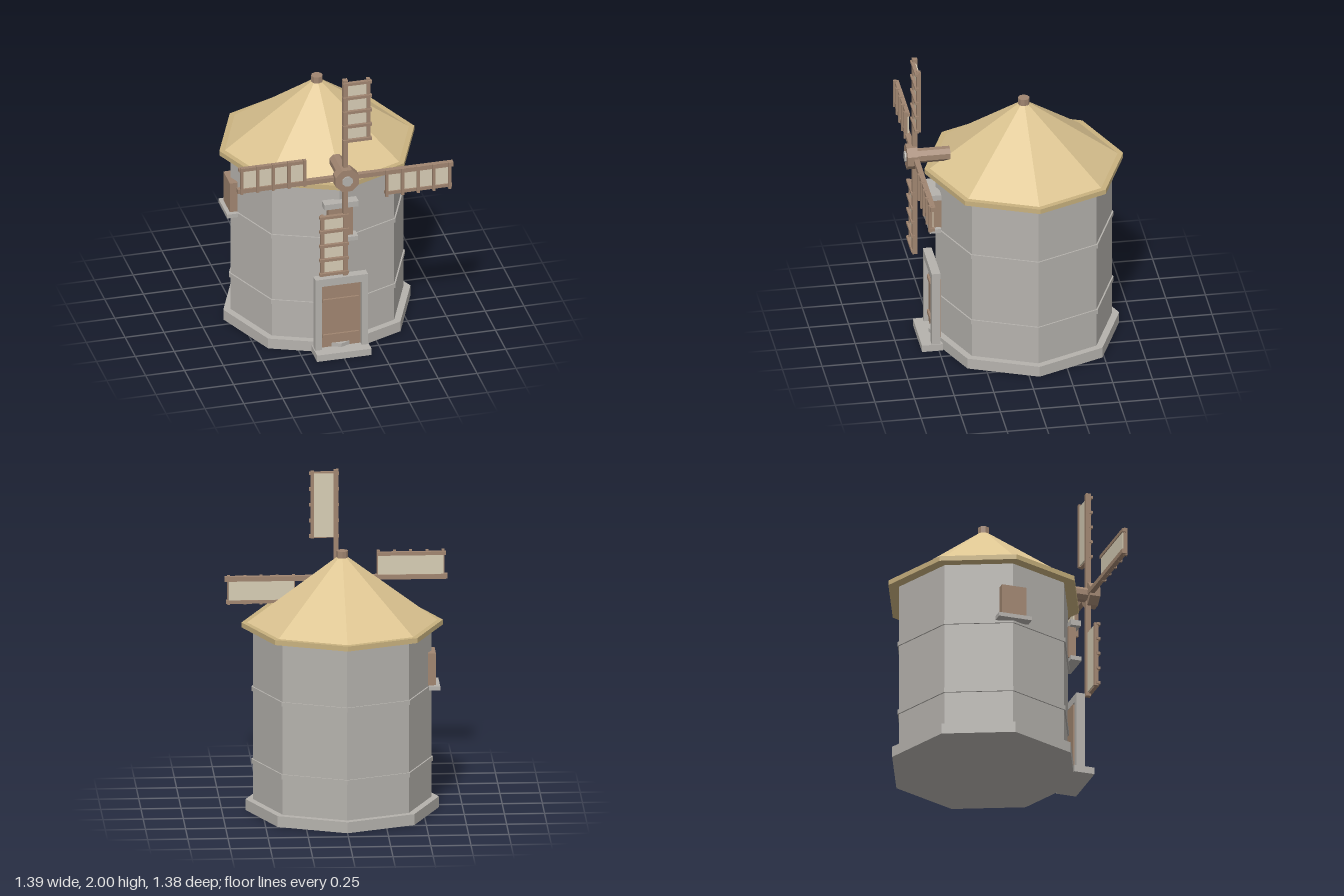
import * as THREE from 'three';

const mat = (color) => new THREE.MeshStandardMaterial({ color, flatShading: true });

export function createModel() {
  const model = new THREE.Group();
  model.name = 'windmill';
  const stone = mat(0xb5b2ad), wood = mat(0xa08570), straw = mat(0xdcc491);
  const thatchEdge = mat(0xc9b27f), cloth = mat(0xd6ccb4);
  const CZ = -0.063; // tower axis

  const add = (parent, name, geometry, material, x = 0, y = 0, z = 0) => {
    const mesh = new THREE.Mesh(geometry, material);
    mesh.name = name;
    mesh.position.set(x, y, z);
    parent.add(mesh);
    return mesh;
  };
  // Box given by its extents on each axis
  const box = (parent, name, material, [x0, x1], [y0, y1], [z0, z1]) =>
    add(parent, name, new THREE.BoxGeometry(x1 - x0, y1 - y0, z1 - z0), material,
      (x0 + x1) / 2, (y0 + y1) / 2, (z0 + z1) / 2);
  // Upright octagonal prism, a corner facing the front
  const prism = (name, material, rTop, rBottom, y0, y1) =>
    add(model, name, new THREE.CylinderGeometry(rTop, rBottom, y1 - y0, 8), material, 0, (y0 + y1) / 2, CZ);

  // Tower
  prism('plinth', stone, 0.602, 0.602, 0, 0.07);
  prism('towerWall', stone, 0.556, 0.556, 0.07, 1.18);
  prism('lowerBand', stone, 0.566, 0.566, 0.3, 0.33);
  prism('upperBand', stone, 0.566, 0.566, 0.767, 0.795);

  // Roof
  prism('eave', thatchEdge, 0.627, 0.627, 1.175, 1.207);
  prism('roof', straw, 0.02, 0.592, 1.207, 1.63);
  prism('roofCap', wood, 0.037, 0.037, 1.58, 1.66);

  // Door
  const door = new THREE.Group();
  door.name = 'door';
  model.add(door);
  box(door, 'doorStep', stone, [-0.175, 0.175], [0, 0.045], [0.475, 0.607]);
  for (const s of [-1, 1]) {
    box(door, 'doorJamb', stone, [s * 0.149 - 0.02, s * 0.149 + 0.02], [0.045, 0.495], [0.49, 0.545]);
  }
  box(door, 'doorLintel', stone, [-0.169, 0.169], [0.495, 0.546], [0.49, 0.545]);
  box(door, 'doorLeaf', wood, [-0.128, 0.128], [0.045, 0.48], [0.48, 0.515]);
  for (const y of [0.125, 0.375]) {
    box(door, 'doorBatten', wood, [-0.115, 0.115], [y - 0.013, y + 0.013], [0.51, 0.528]);
  }

  // Front window
  const frontWindow = new THREE.Group();
  frontWindow.name = 'frontWindow';
  model.add(frontWindow);
  box(frontWindow, 'shutter', wood, [-0.078, 0.078], [0.825, 1.04], [0.47, 0.52]);
  box(frontWindow, 'windowSill', stone, [-0.105, 0.105], [0.8, 0.828], [0.475, 0.547]);
  box(frontWindow, 'windowLintel', stone, [-0.11, 0.11], [1.035, 1.072], [0.475, 0.54]);

  // Side window
  const sideWindow = new THREE.Group();
  sideWindow.name = 'sideWindow';
  model.add(sideWindow);
  box(sideWindow, 'shutter', wood, [-0.58, -0.53], [0.805, 1.01], [CZ - 0.08, CZ + 0.08]);
  box(sideWindow, 'windowSill', stone, [-0.605, -0.535], [0.78, 0.806], [CZ - 0.108, CZ + 0.108]);

  // Sail wheel
  const wheel = new THREE.Group();
  wheel.name = 'sailWheel';
  wheel.position.y = 1.306;
  model.add(wheel);
  const axle = (name, material, r, z0, z1, sides) => {
    const geometry = new THREE.CylinderGeometry(r, r, z1 - z0, sides)
      .rotateX(Math.PI / 2).rotateZ(Math.PI / sides);
    add(wheel, name, geometry, material, 0, 0, (z0 + z1) / 2);
  };
  axle('shaft', wood, 0.046, 0.405, 0.63, 8);
  axle('hub', wood, 0.081, 0.613, 0.68, 8);
  axle('hubPin', stone, 0.035, 0.67, 0.69, 8);

  // Four equal sails, each built pointing up
  for (let i = 0; i < 4; i++) {
    const sail = new THREE.Group();
    sail.name = 'sail';
    sail.rotation.z = (i * Math.PI) / 2;
    wheel.add(sail);
    box(sail, 'sailArm', wood, [-0.015, 0.015], [0, 0.694], [0.608, 0.641]);
    box(sail, 'sailRail', wood, [0.137, 0.159], [0.255, 0.685], [0.612, 0.638]);
    box(sail, 'sailCloth', cloth, [0.012, 0.14], [0.262, 0.668], [0.618, 0.63]);
    for (let k = 0; k < 5; k++) {
      const y = 0.264 + k * 0.101;
      box(sail, 'sailBar', wood, [-0.018, 0.168], [y - 0.009, y + 0.009], [0.626, 0.65]);
    }
  }
  return model;
}
